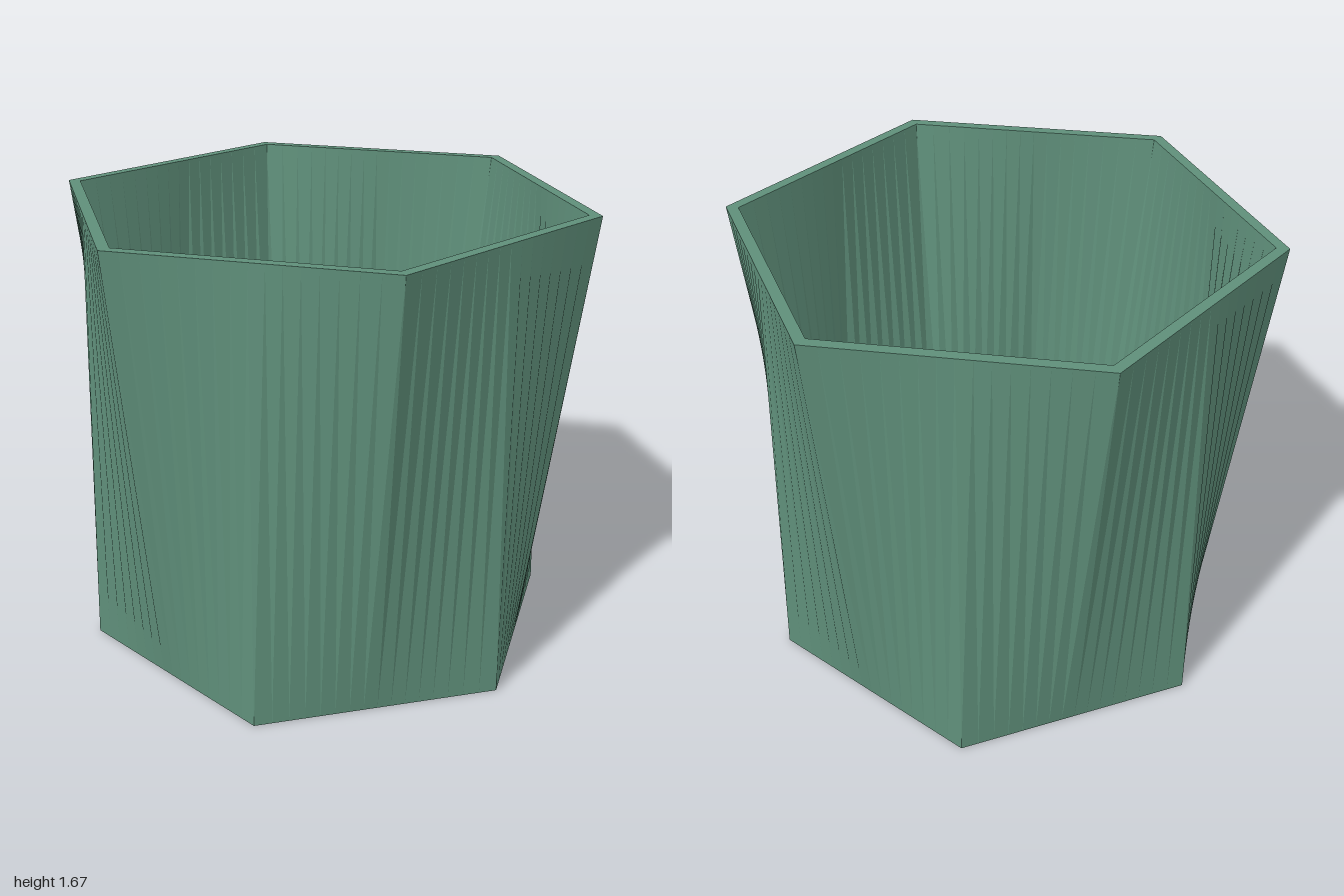
import * as THREE from 'three';

const SIDES = 96; // divisible by 12, so both hexagons keep their corners
const HEIGHT = 1.67;
const FLOOR = 0.05;
const SIXTH = Math.PI / 3;

// Hexagon sampled at even angles; "turn" is the angle of its first corner.
function hexRing(radius, turn, y) {
  const ring = [];
  for (let i = 0; i < SIDES; i++) {
    const a = (i / SIDES) * Math.PI * 2;
    const local = ((a - turn + 1e-7 + 2 * Math.PI) % SIXTH) - SIXTH / 2;
    const r = (radius * Math.cos(SIXTH / 2)) / Math.cos(local);
    ring.push([Math.cos(a) * r, y, Math.sin(a) * r]);
  }
  return ring;
}

// Ruled surface through a list of rings, with hard facets.
function loft(rings) {
  const positions = [];
  for (let k = 0; k + 1 < rings.length; k++) {
    const low = rings[k], high = rings[k + 1];
    for (let i = 0; i < SIDES; i++) {
      const j = (i + 1) % SIDES;
      positions.push(...low[j], ...low[i], ...high[i], ...low[j], ...high[i], ...high[j]);
    }
  }
  const geometry = new THREE.BufferGeometry();
  geometry.setAttribute('position', new THREE.Float32BufferAttribute(positions, 3));
  geometry.computeVertexNormals();
  return geometry;
}

export function createModel() {
  const group = new THREE.Group();
  group.name = 'hexagonalPlanter';
  const green = new THREE.MeshStandardMaterial({ color: 0x5f8f7a });
  green.name = 'sage green';

  function add(name, geometry) {
    const mesh = new THREE.Mesh(geometry, green);
    mesh.name = name;
    group.add(mesh);
  }

  // Wall: the base hexagon has corners on z, the rim hexagon on x
  const base = SIXTH / 2, rim = 0;
  add('wall', loft([
    hexRing(0.855, base, 0),
    hexRing(0.9, base, 0),
    hexRing(1, rim, HEIGHT),
    hexRing(0.953, rim, HEIGHT),
    hexRing(0.855, base, FLOOR),
  ]));

  // Floor with one central and three outer drainage holes
  const floor = new THREE.Shape();
  for (let i = 0; i < 6; i++) {
    const a = base + i * SIXTH;
    floor[i ? 'lineTo' : 'moveTo'](Math.cos(a) * 0.855, Math.sin(a) * 0.855);
  }
  floor.closePath();
  const centres = [[0, 0]];
  for (let i = 0; i < 3; i++) {
    const a = i * SIXTH * 2;
    centres.push([Math.cos(a) * 0.333, Math.sin(a) * 0.333]);
  }
  for (const [x, y] of centres) {
    floor.holes.push(new THREE.Path().absarc(x, y, 0.072, 0, Math.PI * 2, true));
  }
  const floorGeometry = new THREE.ExtrudeGeometry(floor, { depth: FLOOR, bevelEnabled: false, curveSegments: 32 });
  floorGeometry.rotateX(-Math.PI / 2);
  add('floor', floorGeometry);

  return group;
}
